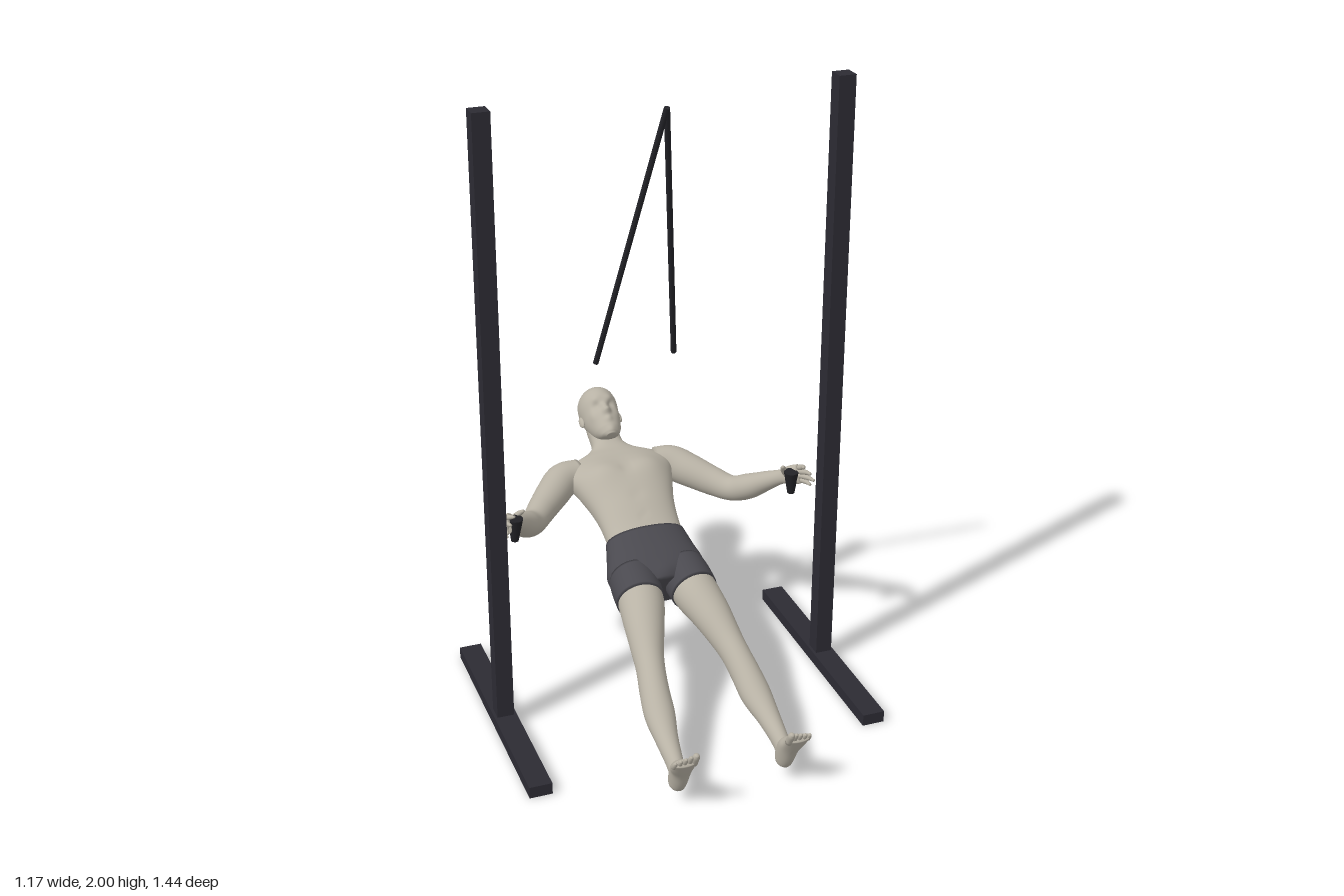
import * as THREE from 'three';

const mat = (name, color, extra) => {
  const m = new THREE.MeshStandardMaterial({ color });
  m.name = name;
  return m;
};

// Smooth closed skin over oval sections [x, y, z, halfWidth, halfDepth].
// dir fixes the section direction; power below 1 makes the ovals squarer.
function loft(sections, { steps = 6, sides = 24, dir = null, power = 1 } = {}) {
  const path = new THREE.CatmullRomCurve3(sections.map(s => new THREE.Vector3(s[0], s[1], s[2])));
  const size = new THREE.CatmullRomCurve3(
    sections.map(s => new THREE.Vector3(s[3], s[4], 0)), false, 'catmullrom', 0.5);
  const rings = steps * (sections.length - 1);
  const pos = [], index = [];
  const soft = v => Math.sign(v) * Math.abs(v) ** power;
  for (let i = -1; i <= rings + 1; i++) {
    const t = Math.min(Math.max(i / rings, 0), 1);
    const c = path.getPoint(t), r = size.getPoint(t);
    if (i < 0 || i > rings) r.multiplyScalar(0.001);
    const along = dir ? dir.clone().normalize() : path.getTangent(t);
    const side = new THREE.Vector3(1, 0, 0).addScaledVector(along, -along.x).normalize();
    const up = new THREE.Vector3().crossVectors(along, side);
    for (let j = 0; j < sides; j++) {
      const a = j / sides * Math.PI * 2;
      const p = c.clone().addScaledVector(side, r.x * soft(Math.cos(a))).addScaledVector(up, r.y * soft(Math.sin(a)));
      pos.push(p.x, p.y, p.z);
    }
  }
  for (let i = 0; i < rings + 2; i++) {
    for (let j = 0; j < sides; j++) {
      const k = (j + 1) % sides;
      const a = i * sides + j, b = i * sides + k, c = a + sides, d = b + sides;
      index.push(a, b, d, a, d, c);
    }
  }
  const g = new THREE.BufferGeometry();
  g.setAttribute('position', new THREE.Float32BufferAttribute(pos, 3));
  g.setIndex(index);
  g.computeVertexNormals();
  return g;
}

// Push the surface out or in around points [x, y, z, radius, amount]; x is mirrored.
function sculpt(g, bumps) {
  const p = g.attributes.position, n = g.attributes.normal;
  for (let i = 0; i < p.count; i++) {
    let move = 0;
    for (const [x, y, z, r, amount] of bumps) {
      const d2 = (Math.abs(p.getX(i)) - x) ** 2 + (p.getY(i) - y) ** 2 + (p.getZ(i) - z) ** 2;
      move += amount * Math.exp(-d2 / (r * r));
    }
    p.setXYZ(i, p.getX(i) + n.getX(i) * move, p.getY(i) + n.getY(i) * move, p.getZ(i) + n.getZ(i) * move);
  }
  g.computeVertexNormals();
  return g;
}

// Straight rod between two points
function rod(a, b, r0, r1, sides) {
  const from = new THREE.Vector3(...a), to = new THREE.Vector3(...b);
  const d = to.clone().sub(from);
  const g = new THREE.CylinderGeometry(r1, r0, d.length(), sides);
  g.applyQuaternion(new THREE.Quaternion().setFromUnitVectors(new THREE.Vector3(0, 1, 0), d.normalize()));
  const m = from.add(to).multiplyScalar(0.5);
  return g.translate(m.x, m.y, m.z);
}

export function createModel() {
  const skin = mat('skin', 0xb8b2a5);
  const cloth = mat('shorts cloth', 0x4a494f);
  const steel = mat('frame', 0x2c2b33);
  const webbing = mat('strap webbing', 0x242429);
  const rubber = mat('grip rubber', 0x222226);

  const model = new THREE.Group();
  model.name = 'suspensionRow';
  const frame = new THREE.Group(), figure = new THREE.Group();
  frame.name = 'frame';
  figure.name = 'figure';
  model.add(frame, figure);
  const add = (parent, name, geometry, material) => {
    const m = new THREE.Mesh(geometry, material);
    m.name = name;
    parent.add(m);
    return m;
  };

  // Torso and neck
  const torso = loft([
    [0, 0.41, -0.08, 0.13, 0.065], [0, 0.46, -0.17, 0.127, 0.063], [0, 0.507, -0.26, 0.136, 0.074],
    [0, 0.55, -0.36, 0.165, 0.084], [0, 0.565, -0.43, 0.182, 0.077], [0, 0.58, -0.475, 0.155, 0.062],
    [0, 0.593, -0.508, 0.09, 0.05], [0, 0.61, -0.54, 0.055, 0.046], [0, 0.65, -0.6, 0.053, 0.048],
  ], { steps: 8, sides: 64, power: 0.88, dir: new THREE.Vector3(0, 0.42, -0.905) });
  sculpt(torso, [
    [0.08, 0.635, -0.35, 0.055, 0.012], [0, 0.63, -0.34, 0.022, -0.007], [0, 0.575, -0.24, 0.02, -0.003],
    [0, 0.53, -0.175, 0.01, -0.005], [0.09, 0.475, -0.42, 0.05, 0.01], [0, 0.44, -0.3, 0.025, -0.008],
    [0, 0.47, -0.4, 0.025, -0.008],
  ]);
  add(figure, 'torso', torso, skin);

  // Head, shaped upright and then tilted back
  const head = new THREE.Group();
  head.name = 'head';
  const skull = loft([
    [0, -0.115, 0.046, 0.016, 0.014], [0, -0.105, 0.036, 0.031, 0.028], [0, -0.085, 0.022, 0.044, 0.05],
    [0, -0.05, 0.01, 0.055, 0.067], [0, -0.01, 0, 0.062, 0.08], [0, 0.03, -0.002, 0.066, 0.087],
    [0, 0.065, -0.004, 0.06, 0.078], [0, 0.09, -0.006, 0.042, 0.055], [0, 0.104, -0.008, 0.015, 0.02],
  ], { steps: 8, sides: 80, dir: new THREE.Vector3(0, 1, 0) });
  sculpt(skull, [
    [0, -0.034, 0.078, 0.012, 0.02], [0, -0.012, 0.08, 0.01, 0.01], [0.024, 0.018, 0.078, 0.014, 0.004],
    [0.026, -0.004, 0.072, 0.012, -0.009], [0.026, -0.004, 0.068, 0.006, 0.004], [0, -0.064, 0.076, 0.012, 0.006],
    [0.038, -0.035, 0.055, 0.018, 0.004], [0, -0.1, 0.06, 0.014, 0.006],
  ]);
  add(head, 'skull', skull, skin);
  for (const s of [1, -1]) {
    const ear = add(head, 'ear', new THREE.SphereGeometry(1, 16, 12), skin);
    ear.scale.set(0.007, 0.022, 0.013);
    ear.position.set(s * 0.067, -0.008, -0.008);
    ear.rotation.set(-0.15, s * -0.35, 0);
  }
  head.position.set(0, 0.688, -0.615);
  head.rotation.x = -1.08;
  figure.add(head);

  // Hip part of the shorts
  const hips = loft([
    [0, 0.355, 0.008, 0.1, 0.066], [0, 0.37, -0.02, 0.145, 0.079], [0, 0.388, -0.06, 0.162, 0.084],
    [0, 0.42, -0.11, 0.148, 0.076], [0, 0.455, -0.162, 0.133, 0.068],
  ], { steps: 8, sides: 48, power: 0.9, dir: new THREE.Vector3(0, 0.42, -0.905) });
  sculpt(hips, [[0.075, 0.315, -0.08, 0.05, 0.01], [0, 0.31, -0.08, 0.02, -0.01], [0, 0.42, 0.02, 0.03, 0.01]]);
  add(figure, 'shortsHips', hips, cloth);

  for (const s of [1, -1]) {
    const side = s > 0 ? 'left' : 'right';
    const limb = (name, pts, material, opts) =>
      add(figure, side + name, loft(pts.map(([x, ...rest]) => [x * s, ...rest]), opts), material);

    // Shorts leg and bare leg
    limb('ShortsLeg', [
      [0.085, 0.385, -0.05, 0.075, 0.078], [0.087, 0.373, 0, 0.079, 0.08], [0.091, 0.358, 0.052, 0.077, 0.077],
    ], cloth, { sides: 32 });
    limb('Leg', [
      [0.088, 0.37, 0.01, 0.07, 0.07], [0.092, 0.356, 0.06, 0.073, 0.072], [0.11, 0.325, 0.14, 0.064, 0.062],
      [0.13, 0.278, 0.23, 0.05, 0.053], [0.14, 0.25, 0.285, 0.045, 0.049], [0.15, 0.214, 0.345, 0.046, 0.049],
      [0.158, 0.175, 0.415, 0.047, 0.046], [0.166, 0.143, 0.5, 0.035, 0.035], [0.17, 0.11, 0.585, 0.026, 0.031],
      [0.172, 0.085, 0.62, 0.026, 0.032],
    ], skin, { sides: 32 });

    // Foot: sections run from heel to ball, measured along the sole
    const sole = (x, along, lift) => [x, 0.035 + 0.89 * along + 0.45 * lift, 0.625 + 0.455 * along - 0.89 * lift];
    limb('Foot', [
      [...sole(0.172, 0.0, 0.03), 0.016, 0.016], [...sole(0.172, 0.012, 0.032), 0.026, 0.029],
      [...sole(0.172, 0.045, 0.036), 0.029, 0.036], [...sole(0.173, 0.09, 0.034), 0.032, 0.032],
      [...sole(0.178, 0.13, 0.022), 0.037, 0.021], [...sole(0.18, 0.17, 0.014), 0.039, 0.013],
    ], skin, { dir: new THREE.Vector3(0, 0.89, 0.455) });
    for (let i = 0; i < 5; i++) {
      const x = 0.15 + i * 0.0155, r = i ? 0.0075 : 0.011, tip = 0.208 - i * 0.006;
      limb('Toe', [
        [...sole(x, 0.155, 0.014), r, r], [...sole(x, tip - 0.012, 0.013), r, r], [...sole(x, tip, 0.011), r * 0.5, r * 0.5],
      ], skin, { sides: 10, steps: 4 });
    }

    // Arm and palm
    limb('Arm', [
      [0.13, 0.57, -0.45, 0.05, 0.054], [0.19, 0.565, -0.437, 0.057, 0.06], [0.24, 0.55, -0.39, 0.055, 0.056],
      [0.3, 0.53, -0.325, 0.047, 0.049], [0.345, 0.525, -0.265, 0.041, 0.042], [0.385, 0.55, -0.215, 0.043, 0.042],
      [0.425, 0.59, -0.16, 0.033, 0.032], [0.455, 0.624, -0.11, 0.02, 0.024], [0.473, 0.643, -0.077, 0.017, 0.031],
      [0.488, 0.658, -0.048, 0.012, 0.032],
    ], skin, { sides: 32 });

    // Fingers and thumb
    [[0.505, 0.642, 0.005], [0.508, 0.666, 0.025], [0.496, 0.69, 0.022], [0.48, 0.708, 0.005]].forEach(([x, y, z], i) => {
      const base = [0.488, 0.636 + i * 0.015, -0.055 + i * 0.002];
      limb('Finger', [
        [...base, 0.009, 0.009], [(base[0] + x) / 2 + 0.006, (base[1] + y) / 2, (base[2] + z) / 2, 0.008, 0.008],
        [x, y, z, 0.0045, 0.0045],
      ], skin, { sides: 10 });
    });
    limb('Thumb', [
      [0.462, 0.645, -0.09, 0.013, 0.013], [0.445, 0.67, -0.075, 0.01, 0.01], [0.434, 0.69, -0.055, 0.005, 0.005],
    ], skin, { sides: 10 });

    // Hand grip
    add(figure, side + 'Grip', rod([s * 0.465, 0.592, -0.055], [s * 0.462, 0.67, -0.05], 0.012, 0.024, 16), rubber);

    // Post, floor beam and hanging strap
    const post = add(frame, side + 'Post', new THREE.BoxGeometry(0.054, 1.99, 0.054), steel);
    post.position.set(s * 0.548, 1.005, 0.04);
    const beam = add(frame, side + 'Beam', new THREE.BoxGeometry(0.072, 0.038, 0.82), steel);
    beam.position.set(s * 0.548, 0.019, 0.04);
    add(frame, side + 'Strap', rod([0, 1.95, 0.04], [s * 0.13, 1.06, -0.25], 0.009, 0.009, 12), webbing);
  }
  return model;
}
